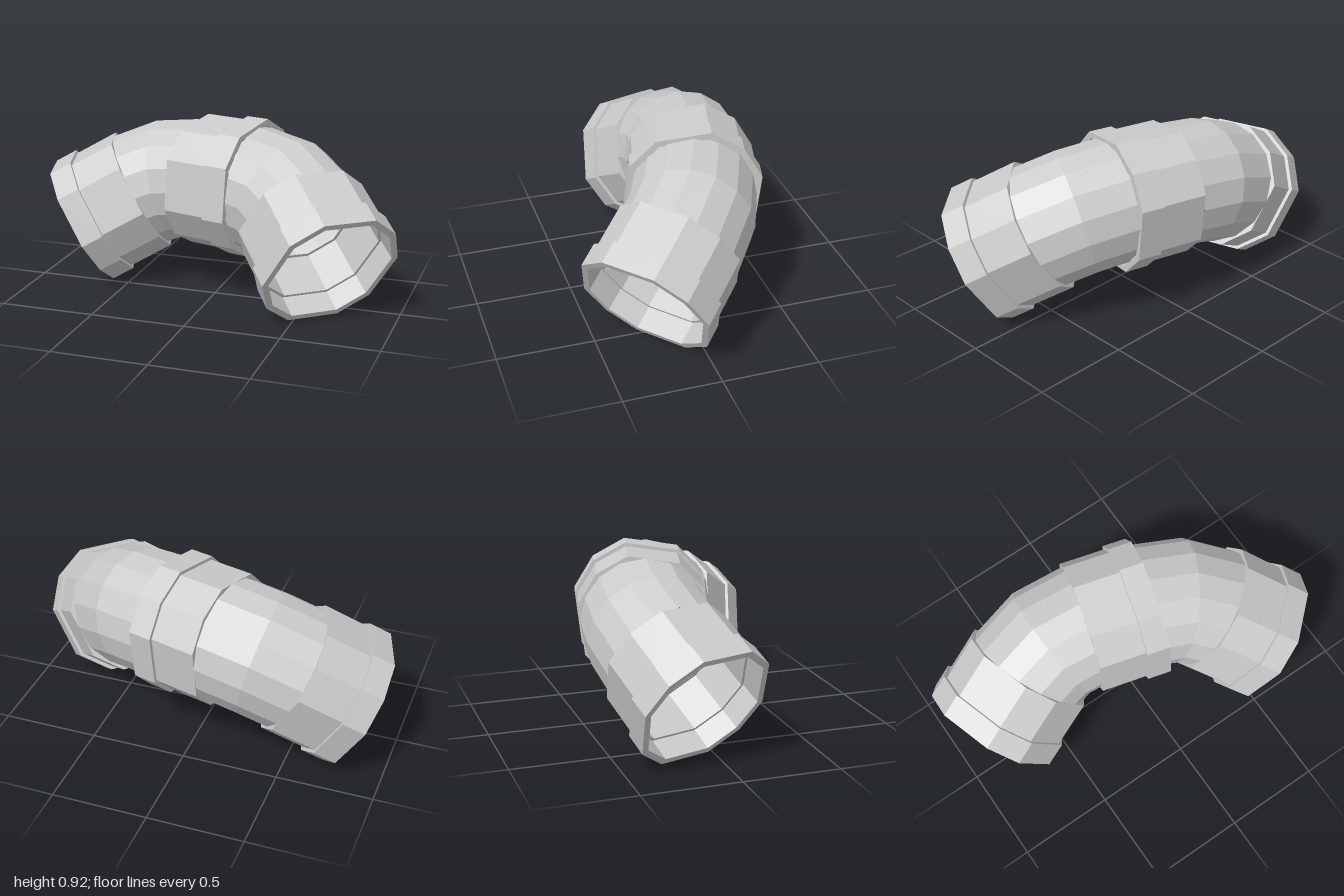
import * as THREE from 'three';

const material = new THREE.MeshStandardMaterial({ color: 0xcccccc, flatShading: true, side: THREE.DoubleSide });
const deg = THREE.MathUtils.degToRad;

const COLLAR_LENGTH = 0.37;
const TUBE_RADIUS = 0.327;
const BEND_REACH = 0.1834; // from either end of a bend to the corner of its axes

// Ten-sided collar section, mirrored about the plane of the bend
const COLLAR_ANGLES = [0, 30, 75, 105, 150, 180, 210, 255, 285, 330].map(deg);
const TUBE_ANGLES = Array.from({ length: 16 }, (_, i) => deg(i * 22.5));

// Joins closed rings of points, one after another, into a faceted skin
function loft(rings) {
  const positions = [];
  for (let i = 0; i < rings.length - 1; i++) {
    const n = rings[i].length;
    for (let j = 0; j < n; j++) {
      const k = (j + 1) % n;
      const a = rings[i][j], b = rings[i][k], c = rings[i + 1][k], d = rings[i + 1][j];
      for (const p of [a, b, c, a, c, d]) positions.push(p.x, p.y, p.z);
    }
  }
  const geometry = new THREE.BufferGeometry();
  geometry.setAttribute('position', new THREE.Float32BufferAttribute(positions, 3));
  geometry.computeVertexNormals();
  return geometry;
}

// Matrix whose z runs along the pipe and whose x points to the inside of the bend
function frame(origin, along, inside) {
  const y = along.clone().cross(inside);
  return new THREE.Matrix4().makeBasis(inside, y, along).setPosition(origin);
}

function addMesh(group, name, geometry, matrix) {
  const mesh = new THREE.Mesh(geometry.applyMatrix4(matrix), material);
  mesh.name = name;
  group.add(mesh);
}

// Socket: sleeve, wider end flange, rim and bore, as [radius, distance]
function collarGeometry() {
  const profile = [
    [0.3, 0], [0.349, 0], [0.349, 0.245], [0.367, 0.245],
    [0.367, COLLAR_LENGTH], [0.333, COLLAR_LENGTH], [0.333, 0.245], [0.318, 0.245], [0.318, 0],
  ];
  return loft(profile.map(([r, t]) =>
    COLLAR_ANGLES.map((a) => new THREE.Vector3(r * Math.cos(a), r * Math.sin(a), t))));
}

// Tube bent in the local xz plane in two steps, with an optional straight lead-in
function bendGeometry(angle, radius, leadIn) {
  const stations = [0, angle / 2, angle].map((a) => [a, 0]);
  if (leadIn > 0) stations.unshift([0, -leadIn]);
  return loft(stations.map(([a, shift]) => TUBE_ANGLES.map((phi) => {
    const reach = radius - TUBE_RADIUS * Math.cos(phi);
    return new THREE.Vector3(
      radius - reach * Math.cos(a),
      TUBE_RADIUS * Math.sin(phi),
      reach * Math.sin(a) + shift);
  })));
}

// Elbow from one direction to another; returns where its outlet collar ends
function addElbow(parent, name, start, dirIn, dirOut, hasInletCollar) {
  const group = new THREE.Group();
  group.name = name;
  const angle = dirIn.angleTo(dirOut);
  const radius = BEND_REACH / Math.tan(angle / 2);
  const insideIn = dirOut.clone().addScaledVector(dirIn, -dirOut.dot(dirIn)).normalize();
  const insideOut = dirIn.clone().negate().addScaledVector(dirOut, dirIn.dot(dirOut)).normalize();

  const bendStart = start.clone();
  if (hasInletCollar) {
    bendStart.addScaledVector(dirIn, COLLAR_LENGTH);
    addMesh(group, 'inletCollar', collarGeometry(), frame(bendStart, dirIn.clone().negate(), insideIn));
  }
  addMesh(group, 'bentTube', bendGeometry(angle, radius, hasInletCollar ? 0 : 0.12),
    frame(bendStart, dirIn, insideIn));

  const bendEnd = bendStart.clone()
    .addScaledVector(dirIn, BEND_REACH).addScaledVector(dirOut, BEND_REACH);
  addMesh(group, 'outletCollar', collarGeometry(),
    frame(bendEnd, dirOut, insideOut.negate().multiplyScalar(-1)));
  parent.add(group);
  return bendEnd.addScaledVector(dirOut, COLLAR_LENGTH);
}

export function createModel() {
  const model = new THREE.Group();
  model.name = 'pipeElbows';

  // Axis directions at the right opening, the middle joint and the left opening
  const first = new THREE.Vector3(0.836, 0.482, -0.261).normalize();
  const middle = new THREE.Vector3(0.967, 0, 0.255).normalize();
  const last = new THREE.Vector3(0.578, -0.486, 0.658).normalize();

  const joint = addElbow(model, 'socketElbow', new THREE.Vector3(-0.795, 0.305, -0.11), first, middle, true);
  addElbow(model, 'insertedElbow', joint, middle, last, false);
  return model;
}
